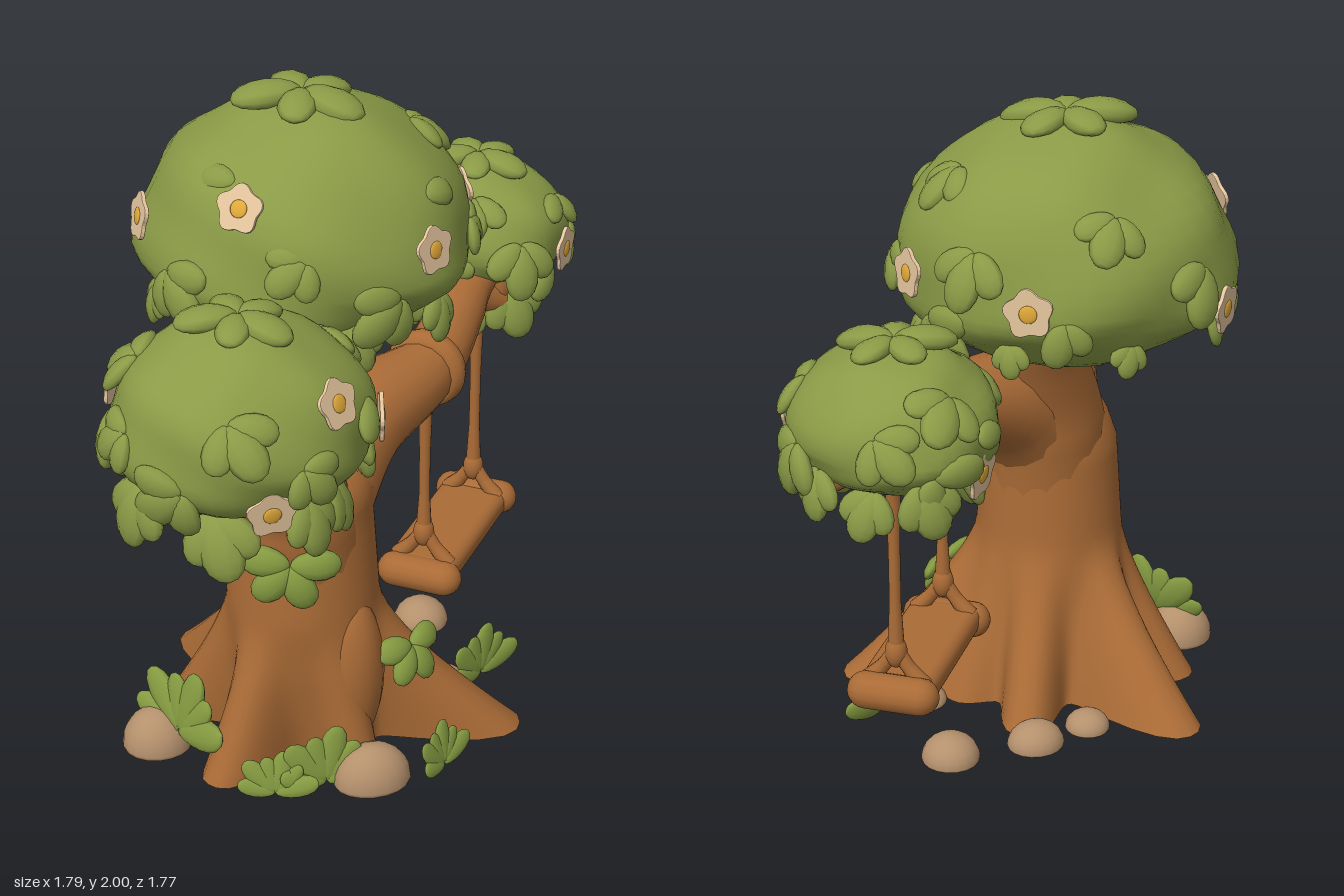
import * as THREE from 'three';
import { mergeGeometries, mergeVertices, toCreasedNormals } from 'three/addons/utils/BufferGeometryUtils.js';
import { RoundedBoxGeometry } from 'three/addons/geometries/RoundedBoxGeometry.js';

const V = (x, y, z) => new THREE.Vector3(x, y, z);
const mat = (name, color) => {
  const m = new THREE.MeshStandardMaterial({ color });
  m.name = name;
  return m;
};

// Move every vertex by a rule, then weld and smooth the normals
function reshape(geo, rule) {
  const p = geo.attributes.position, v = V();
  for (let i = 0; i < p.count; i++) {
    rule(v.fromBufferAttribute(p, i), i);
    p.setXYZ(i, v.x, v.y, v.z);
  }
  geo.deleteAttribute('uv');
  geo.deleteAttribute('normal');
  const out = mergeVertices(geo, 1e-5);
  out.computeVertexNormals();
  return out;
}

// Tube whose radius follows a list of values along the path
function limb(points, radii, sides = 16) {
  const curve = new THREE.CatmullRomCurve3(points.map(p => V(...p))), n = 24;
  const geo = new THREE.TubeGeometry(curve, n, 1, sides);
  return reshape(geo, (v, i) => {
    const t = Math.floor(i / (sides + 1)) / n, c = curve.getPointAt(t);
    const f = t * (radii.length - 1), k = Math.min(Math.floor(f), radii.length - 2);
    v.sub(c).multiplyScalar(THREE.MathUtils.lerp(radii[k], radii[k + 1], f - k)).add(c);
  });
}

// Copy of a geometry with local z along the normal and local y uphill, turned by spin
function place(geo, pos, normal, spin, size) {
  const z = normal.clone().normalize();
  const up = Math.abs(z.y) > 0.97 ? V(0, 0, -1) : V(0, 1, 0);
  const x = up.cross(z).normalize(), y = z.clone().cross(x);
  const m = new THREE.Matrix4().makeBasis(x, y, z).setPosition(pos);
  m.multiply(new THREE.Matrix4().makeRotationZ(spin)).scale(V(size, size, size));
  return geo.clone().applyMatrix4(m);
}

function ellipsoid(x, y, z, rx, ry, rz) {
  return new THREE.SphereGeometry(1, 20, 14).scale(rx, ry, rz).translate(x, y, z);
}

// Leaf from its stem at the origin to its tip at y = 1, curling towards -z
const makeLeaf = (width, thick, curl) => reshape(new THREE.SphereGeometry(1, 10, 8), v => {
  const t = (v.y + 1) / 2;
  v.set(v.x * width * (0.85 + 0.3 * t), t, v.z * thick - curl * t * t);
});
const leaf = makeLeaf(0.33, 0.19, 0.12), blade = makeLeaf(0.24, 0.11, -0.15);

// Flower outline with five soft petals, and its middle
const petalShape = new THREE.Shape(Array.from({ length: 40 }, (_, i) => {
  const a = i / 40 * Math.PI * 2, r = 0.88 + 0.1 * Math.cos(a * 5);
  return new THREE.Vector2(Math.sin(a) * r, Math.cos(a) * r);
}));
const petals = new THREE.ExtrudeGeometry(petalShape,
  { depth: 0.1, bevelEnabled: true, bevelSize: 0.04, bevelThickness: 0.04, bevelSegments: 2 });
const middle = new THREE.SphereGeometry(1, 12, 8).scale(0.36, 0.36, 0.08).translate(0, 0, 0.14);

export function createModel() {
  const model = new THREE.Group();
  model.name = 'treeWithSwing';
  const bark = mat('bark brown', 0xaa6b36), foliage = mat('foliage green', 0x8a9a46);
  const plant = mat('plant green', 0x859b41), stone = mat('stone tan', 0xb5916d);
  const petal = mat('petal cream', 0xe6c69e), pollen = mat('pollen yellow', 0xe3aa3a);
  const add = (name, geo, material, parent = model) => {
    const m = new THREE.Mesh(geo, material);
    m.name = name;
    parent.add(m);
    return m;
  };

  // Trunk: rows are [y, centre x, centre z, radius]; roots are [x, z, reach] from the base centre
  const rows = [[0, -.17, .13, .23], [.15, -.185, .155, .235], [.3, -.2, .18, .235], [.5, -.215, .2, .232],
    [.8, -.215, .2, .212], [.9, -.2, .21, .195], [.96, -.2, .21, .15], [1.0, -.2, .21, .07]];
  const roots = [[.59, .25, .42], [-.4, .28, .26], [-.25, -.55, .39], [.3, -.45, .2], [-.43, -.2, .25],
    [.07, .37, .14], [.5, -.08, .13]];
  const trunk = reshape(new THREE.CylinderGeometry(1, 1, 1, 96, 25), v => {
    const y = v.y + 0.5, k = Math.min(Math.max(0, rows.findLastIndex(r => r[0] <= y)), rows.length - 2);
    const a = rows[k], b = rows[k + 1], s = (y - a[0]) / (b[0] - a[0]), mix = j => a[j] + (b[j] - a[j]) * s;
    const ang = Math.atan2(v.z, v.x), frac = Math.hypot(v.x, v.z);
    let r = mix(3);
    for (const [x, z, reach] of roots) {
      const off = Math.acos(THREE.MathUtils.clamp(Math.cos(ang - Math.atan2(z, x)), -1, 1));
      r += reach * Math.exp(-((off / 0.3) ** 2.6)) * Math.max(0, 1 - y / 0.5) ** 1.35;
    }
    r *= frac;
    v.set(mix(1) + Math.cos(ang) * r, y + 0.005, mix(2) + Math.sin(ang) * r);
  });
  add('trunk', toCreasedNormals(trunk, 1), bark);
  add('trunkKnot', ellipsoid(-.12, .3, .35, .11, .27, .11), bark);

  // Branches into the three crowns
  add('mainBranch', limb([[-.2, .6, .2], [-.17, .95, .14], [-.1, 1.2, .04], [-.06, 1.45, -.06]], [.2, .185, .135, .12]), bark);
  add('frontBranch', limb([[-.21, .6, .21], [-.26, .9, .3], [-.37, 1.1, .43], [-.45, 1.25, .5]], [.2, .175, .115, .1]), bark);
  add('swingBranch', limb([[-.2, .8, .2], [-.03, .99, .1], [.25, 1.07, -.04], [.5, 1.19, -.33], [.67, 1.28, -.4]],
    [.19, .155, .1, .085, .03]), bark);
  add('branchFork', limb([[.48, 1.17, -.33], [.62, 1.1, -.36], [.74, 1.07, -.42]], [.06, .05, .025]), bark);

  // Swing, built along local x and turned below the branch
  const swing = new THREE.Group();
  swing.name = 'swing';
  swing.position.set(.395, 0, -.215);
  swing.rotation.y = Math.atan2(.35, .29);
  model.add(swing);
  add('seat', new RoundedBoxGeometry(.54, .085, .23, 3, .035).translate(0, .367, 0), bark, swing);
  for (const [side, top] of [[-1, 1.07], [1, 1.17]]) {
    const x = side * .227;
    add('rope', limb([[x, .48, 0], [x, .8, 0], [x, top, 0]], [.027, .018, .018, .022, .055], 10), bark, swing);
    add('ropeKnot', ellipsoid(x, .49, 0, .033, .05, .033), bark, swing);
    for (const w of [-1, 1])
      add('ropeFork', limb([[x, .5, 0], [x, .44, w * .04], [x, .39, w * .085]], [.022, .022, .028], 10), bark, swing);
    const bar = new THREE.CapsuleGeometry(.056, .165, 6, 14).rotateX(Math.PI / 2).translate(side * .262, .363 + side * .008, 0);
    add('seatEnd', bar, bark, swing);
    const loop = new THREE.TorusGeometry(side < 0 ? .085 : .07, .042, 12, 28).rotateY(Math.PI / 2);
    add('ropeLoop', loop.translate(x, top, 0), bark, swing);
  }

  // Crowns: centre, radii, depth of the lower half, leaf cluster count, flower positions
  const crowns = [
    ['mainCrown', V(-.1, 1.52, -.15), V(.495, .43, .495), .6, 15, [[-.38, 1.77, .18], [.16, 1.62, .29], [.38, 1.57, -.2],
      [.25, 1.55, -.63], [-.61, 1.65, -.13], [-.45, 1.45, -.57]]],
    ['frontCrown', V(-.47, 1.28, .49), V(.37, .31, .35), .73, 13, [[-.25, 1.45, .78], [-.47, 1.15, .82], [-.07, 1.28, .58],
      [-.79, 1.34, .24]]],
    ['backCrown', V(.59, 1.28, -.55), V(.285, .24, .31), .65, 11, [[.8, 1.27, -.33], [.38, 1.17, -.83]]],
  ];
  crowns.forEach(([name, c, r, lower, count, flowers], id) => {
    const group = new THREE.Group();
    group.name = name;
    model.add(group);
    // Point of the crown in a unit direction; the lower half is flatter
    const squash = y => y < 0 ? lower : 1;
    const surface = (d, lift) => V(d.x, d.y * squash(d.y), d.z).multiply(r).multiplyScalar(lift).add(c);
    const ball = reshape(new THREE.SphereGeometry(1, 40, 28), v => {
      const lump = 1 + .02 * Math.sin(v.x * 7 + id) * Math.sin(v.z * 6) + .02 * Math.sin(v.y * 8 + v.x * 5 + id);
      v.copy(surface(v, lump));
    });
    add('foliage', ball, foliage, group);

    // Flowers sit on the crown surface
    const spots = flowers.map((f, i) => {
      const d = V(...f).sub(c).divide(r);
      d.y /= squash(d.y);
      d.normalize();
      const pos = surface(d, 1.04), n = d.clone().divide(r);
      n.y *= n.y < 0 ? .2 : .6;
      add('flowerPetals', place(petals, pos, n, i * 1.3, .072), petal, group);
      add('flowerMiddle', place(middle, pos, n, 0, .072), pollen, group);
      return pos;
    });

    // Leaf clusters spiral down the crown with lifted tips, leaving the flowers clear
    const leaves = [];
    const cluster = (d, n, spins, size, lift) => spins.forEach((s, i) => {
      const g = place(leaf, surface(d, lift), n, s, size * (i % 2 ? 1.1 : .9));
      g.computeBoundingSphere();
      const { center, radius } = g.boundingSphere;
      if (spots.every(p => p.distanceTo(center) > radius + .05)) leaves.push(g);
    });
    const around = (a, y) => V(Math.cos(a) * Math.sqrt(1 - y * y), y, Math.sin(a) * Math.sqrt(1 - y * y));
    for (let i = 0; i < count; i++) {
      const d = around(i * 2.4 + id, .75 - 1.15 * i / count), n = d.clone().divide(r).normalize();
      const turn = Math.PI + .9 * Math.sin(i * 5);
      n.y += .15;
      cluster(d, n, [turn - .85, turn, turn + .85], .145 + .02 * Math.sin(i * 3), .995);
    }
    // Ragged fringe hanging from the lower half
    const fringe = id ? 11 : 8;
    for (let i = 0; i < fringe; i++) {
      const d = around(i / fringe * Math.PI * 2 + id, id ? (i % 2 ? -.35 : -.75) : -.4);
      const turn = Math.PI + .3 * Math.sin(i * 4);
      cluster(d, V(d.x, .3, d.z), [turn - .6, turn, turn + .6], (id ? .155 : .115) + .025 * Math.sin(i * 7), .97);
    }
    cluster(V(0, 1, 0), V(.04, 1, .04), [.1, 1.4, 2.7, 3.8, 5.1], id ? .16 : .19, 1.03);
    add('leaves', mergeGeometries(leaves), foliage, group);
  });

  // Leaf sprigs on the trunk and root
  for (const [p, n, size] of [[[-.31, .74, .4], [-.3, .15, 1], .15], [[.06, .34, .34], [.5, .5, .8], .13]]) {
    const blades = [1.4, 2.4, 3.5, 4.7].map(s => place(leaf, V(...p).addScaledVector(V(...n).normalize(), .03), V(...n), s, size));
    add('leafSprig', mergeGeometries(blades), plant);
  }

  // Ground tufts are upright fans: position, facing, size
  for (const [p, n, size] of [[[-.62, .09, .22], [-.7, .3, .4], .2], [[-.4, .02, .52], [-.3, .4, 1], .13],
    [[-.24, .03, .52], [0, .3, 1], .17], [[.13, .02, .53], [.6, .4, .75], .13], [[.4, .02, .1], [.5, .2, .9], .16]]) {
    const blades = [-1.3, -.75, -.25, .25, .75, 1.3].map((s, i) => place(blade, V(...p), V(...n), s, size * (i % 2 ? .9 : 1.05)));
    add('groundTuft', mergeGeometries(blades), plant);
  }

  // Stones: [x, z, radius x, height, radius z]
  for (const [x, z, rx, h, rz] of [[-.67, .15, .11, .13, .1], [-.1, .53, .12, .13, .09], [.32, -.26, .09, .085, .09],
    [.05, -.29, .09, .08, .08], [-.14, -.26, .07, .06, .07], [.27, .1, .08, .05, .08]]) {
    const dome = reshape(new THREE.SphereGeometry(1, 18, 12), v => {
      v.set(x + v.x * rx, .005 + Math.max(0, v.y + .1) / 1.1 * h, z + v.z * rz);
    });
    add('stone', dome, stone);
  }
  return model;
}
